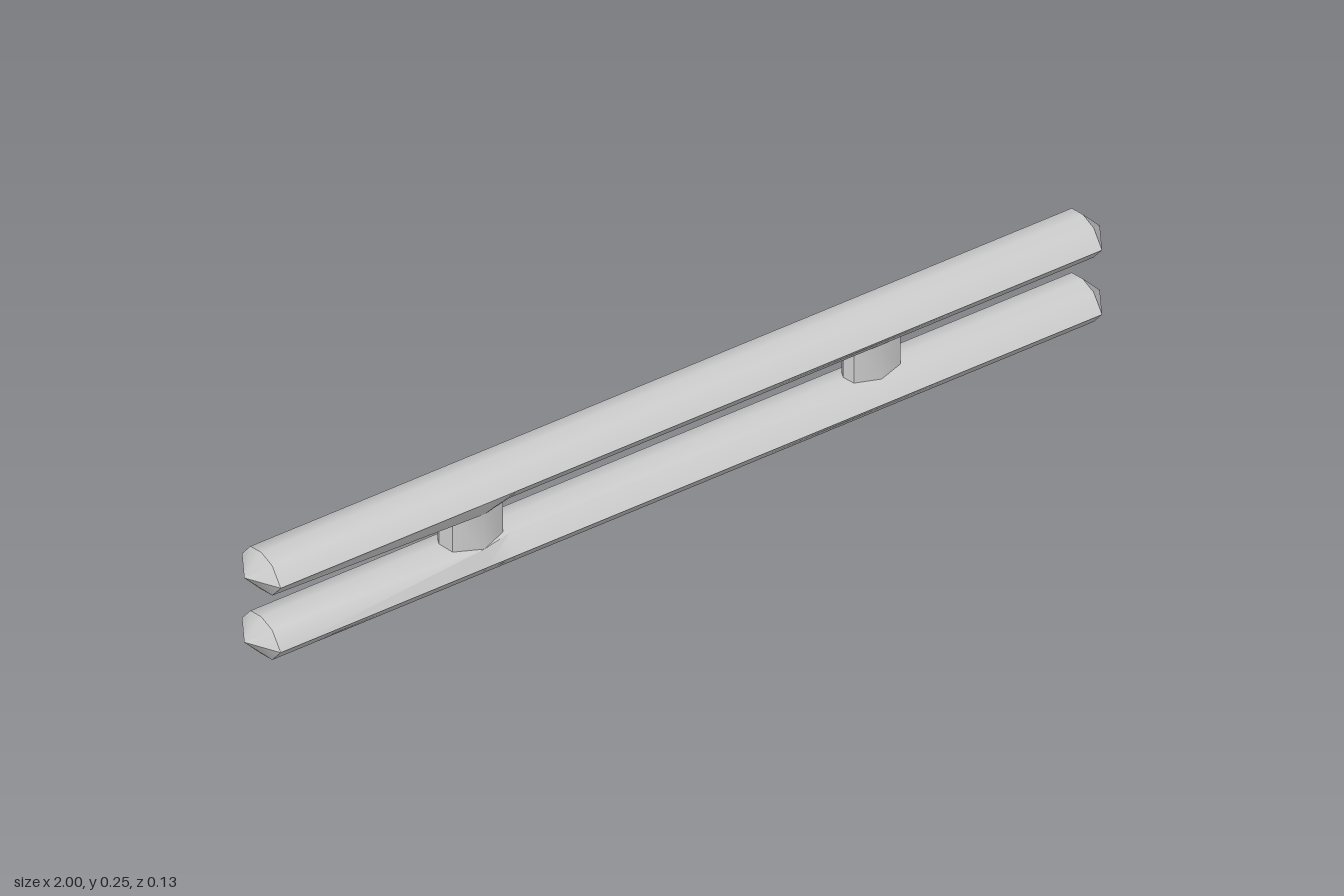
import * as THREE from 'three';
import { toCreasedNormals } from 'three/addons/utils/BufferGeometryUtils.js';

const material = new THREE.MeshStandardMaterial({ color: 0xcccccc });

// Eight-sided bar section as [z, y], starting at the top and going towards +z
const SECTION = [[0, 0.045], [0.038, 0.036], [0.067, 0], [0.038, -0.036],
  [0, -0.045], [-0.038, -0.036], [-0.067, 0], [-0.038, 0.036]];

// Stations along the bar: [x, z of the inner front edge], swelling at the left-hand post
const STATIONS = [[-0.96, 0.038], [-0.475, 0.054], [-0.405, 0.038], [0.96, 0.038]];

// Bar lofted through the stations and closed by a shallow point at each end
function makeBar(name, y, flareIndex) {
  const n = SECTION.length;
  const points = [];
  const index = [];
  for (const [x, flare] of STATIONS) {
    SECTION.forEach(([z, h], i) => points.push(x, h, i === flareIndex ? flare : z));
  }
  points.push(-1, 0, 0, 1, 0, 0);
  const last = (STATIONS.length - 1) * n;
  const tipA = last + n;
  const tipB = tipA + 1;
  for (let i = 0; i < n; i++) {
    const j = (i + 1) % n;
    for (let s = 0; s < last; s += n) {
      index.push(s + i, s + j, s + n + i, s + j, s + n + j, s + n + i);
    }
    index.push(tipA, j, i, tipB, last + i, last + j);
  }
  const geometry = new THREE.BufferGeometry();
  geometry.setAttribute('position', new THREE.Float32BufferAttribute(points, 3));
  geometry.setIndex(index);
  const bar = new THREE.Mesh(toCreasedNormals(geometry, 0.75), material);
  bar.name = name;
  bar.position.y = y;
  return bar;
}

// Flattened eight-sided post; front and back may have different depths
function makePost(name, x, width, front, back) {
  const w = width / 2;
  const outline = [[w, 0], [w * 0.84, front * 0.58], [0, front], [-w * 0.84, front * 0.58],
    [-w, 0], [-w * 0.84, -back * 0.58], [0, -back], [w * 0.84, -back * 0.58]];
  const shape = new THREE.Shape(outline.map(([px, pz]) => new THREE.Vector2(px, -pz)));
  const geometry = new THREE.ExtrudeGeometry(shape, { depth: 0.088, bevelEnabled: false });
  geometry.rotateX(-Math.PI / 2);
  const post = new THREE.Mesh(toCreasedNormals(geometry, 0.75), material);
  post.name = name;
  post.position.set(x, 0.08, 0);
  return post;
}

export function createModel() {
  const model = new THREE.Group();
  model.name = 'doubleBar';
  model.add(
    makeBar('lowerBar', 0.046, 1),
    makeBar('upperBar', 0.203, 3),
    makePost('rightPost', -0.475, 0.14, 0.054, 0.037),
    makePost('leftPost', 0.465, 0.13, 0.037, 0.037),
  );
  return model;
}
